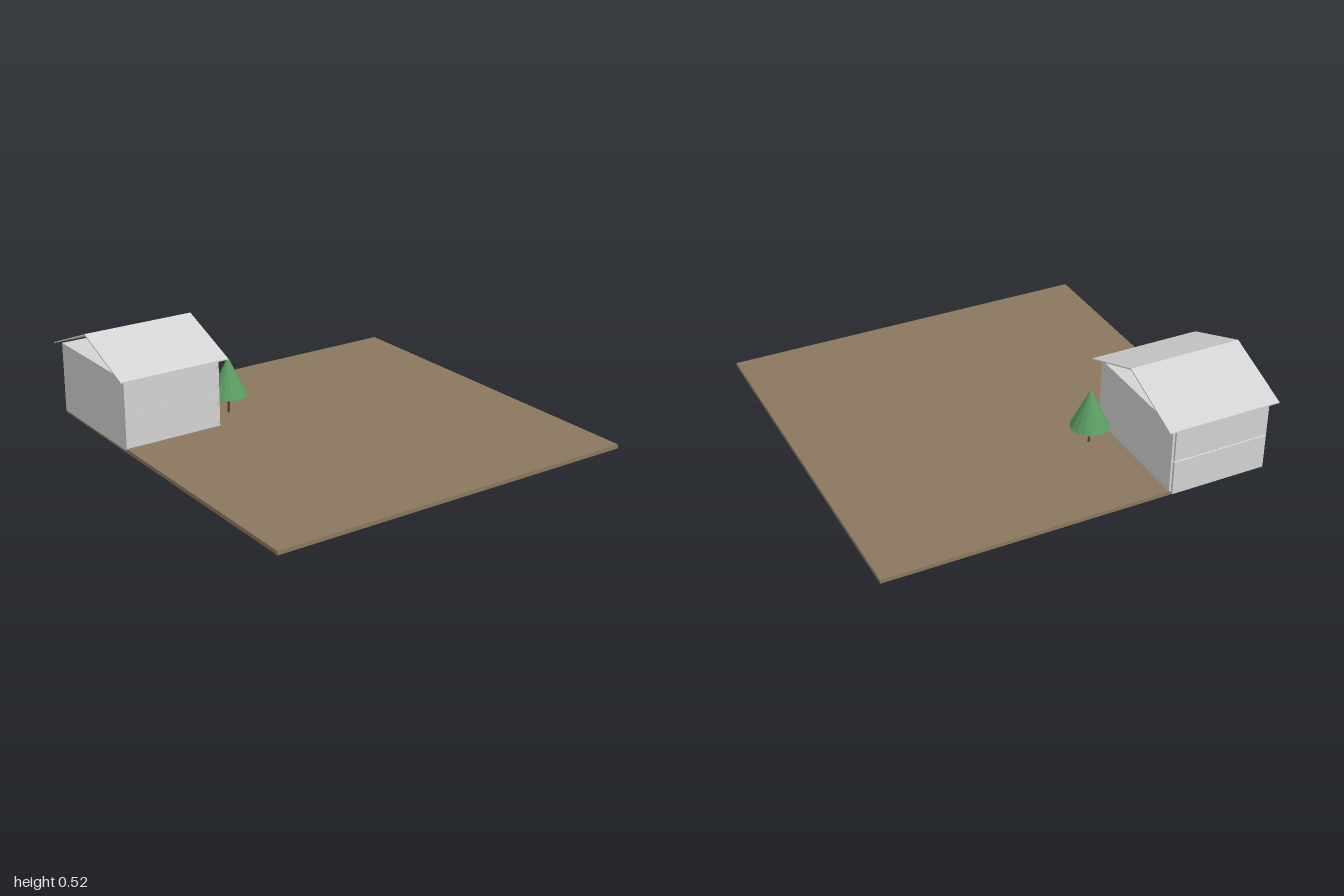
import * as THREE from 'three';

const material = (name, color) => {
  const m = new THREE.MeshStandardMaterial({ color });
  m.name = name;
  return m;
};

export function createModel() {
  const model = new THREE.Group();
  const soil = material('soil brown', 0x8b775d);
  const plaster = material('light grey', 0xd3d3d3);
  const leaf = material('leaf green', 0x5a9e62);
  const bark = material('bark brown', 0x5c4033);
  leaf.flatShading = true;

  const add = (parent, name, geometry, mat) => {
    const mesh = new THREE.Mesh(geometry, mat);
    mesh.name = name;
    parent.add(mesh);
    return mesh;
  };
  // Box given by its lower and upper limits on each axis
  const box = (parent, name, mat, [x0, x1], [y0, y1], [z0, z1]) => {
    const mesh = add(parent, name, new THREE.BoxGeometry(x1 - x0, y1 - y0, z1 - z0), mat);
    mesh.position.set((x0 + x1) / 2, (y0 + y1) / 2, (z0 + z1) / 2);
    return mesh;
  };

  // Plot of land
  box(model, 'ground', soil, [-0.967, 1], [0, 0.02], [-1, 0.967]);

  // House: full-height gable-end walls, storey-high side panels and floor slabs
  const house = new THREE.Group();
  house.name = 'house';
  model.add(house);
  const width = [-0.967, -0.313];
  const depth = [0.456, 0.957];
  box(house, 'frontWall', plaster, width, [0.01, 0.375], [0.957, 0.968]);
  box(house, 'backWall', plaster, width, [0.01, 0.375], [0.445, 0.456]);
  for (const [storey, height] of [['lower', [0.01, 0.187]], ['upper', [0.198, 0.366]]]) {
    box(house, storey + 'RightWall', plaster, [-0.98, -0.968], height, depth);
    box(house, storey + 'LeftWall', plaster, [-0.326, -0.314], height, depth);
  }
  box(house, 'middleFloor', plaster, width, [0.187, 0.198], depth);
  box(house, 'ceiling', plaster, width, [0.366, 0.375], depth);

  // Open gabled roof made of two thin sloping sheets
  const slope = new THREE.Shape([
    [-1, 0.37], [-0.64, 0.511], [-0.282, 0.37], [-0.282, 0.376], [-0.64, 0.518], [-1, 0.376],
  ].map(([x, y]) => new THREE.Vector2(x, y)));
  const roof = add(house, 'roof',
    new THREE.ExtrudeGeometry(slope, { depth: 0.59, bevelEnabled: false }), plaster);
  roof.position.z = 0.408;

  // Tree beside the house
  const tree = new THREE.Group();
  tree.name = 'tree';
  tree.position.set(-0.446, 0, 0.313);
  model.add(tree);
  add(tree, 'trunk', new THREE.CylinderGeometry(0.006, 0.006, 0.1, 8), bark).position.y = 0.065;
  add(tree, 'foliage', new THREE.CylinderGeometry(0.006, 0.097, 0.193, 16), leaf).position.y = 0.2105;

  return model;
}
